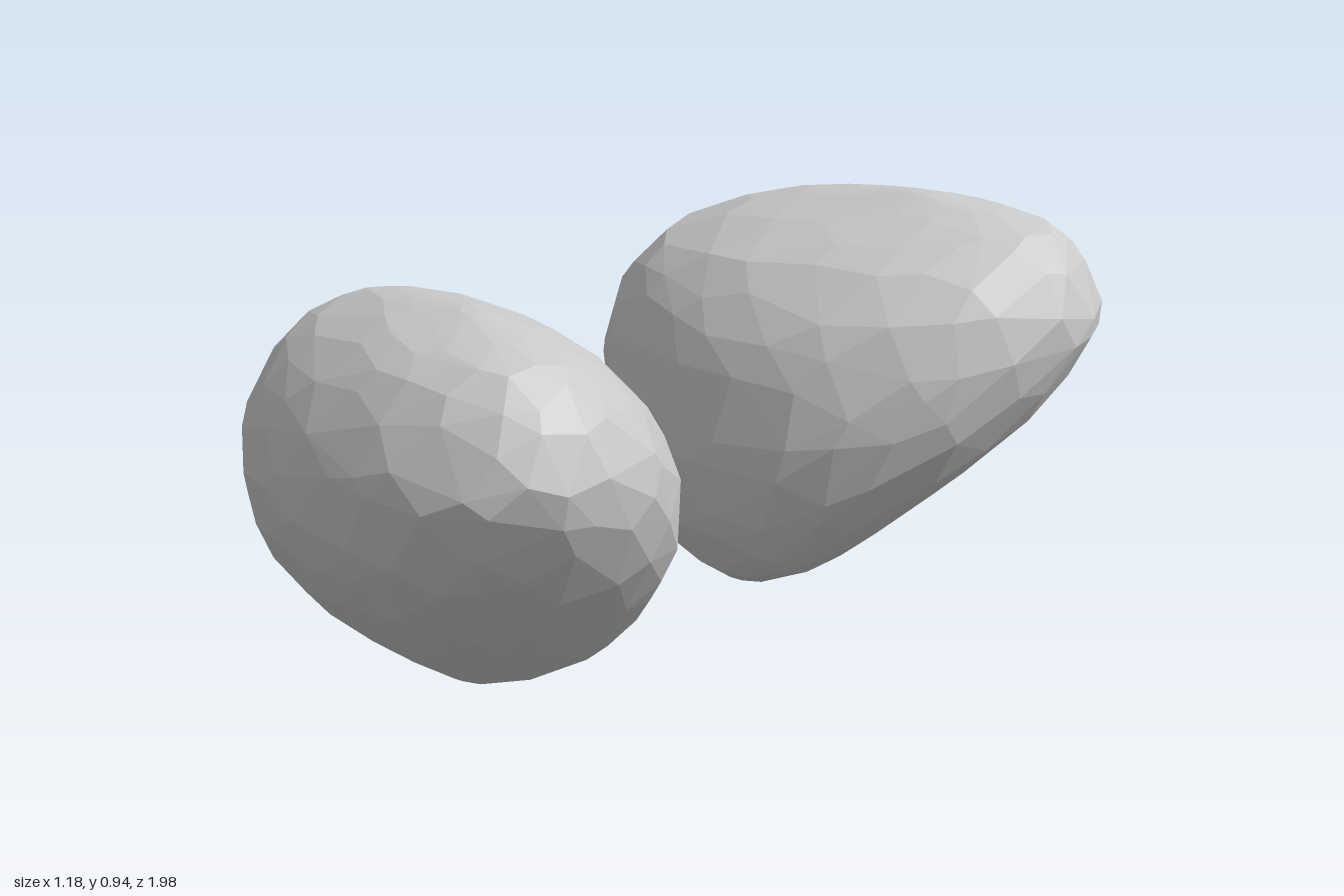
import * as THREE from 'three';
import { ConvexGeometry } from 'three/addons/geometries/ConvexGeometry.js';

// Horizontal slices of a stone, bottom to top: [y, xMin, xMax]
const SLICES = [
  [0, -0.12, -0.05], [0.02, -0.24, 0.01], [0.08, -0.325, 0.135], [0.16, -0.42, 0.225],
  [0.25, -0.505, 0.315], [0.35, -0.56, 0.41], [0.45, -0.592, 0.49], [0.55, -0.592, 0.545],
  [0.65, -0.57, 0.585], [0.72, -0.52, 0.59], [0.8, -0.44, 0.56], [0.86, -0.31, 0.51],
  [0.9, -0.17, 0.47], [0.92, -0.02, 0.36], [0.937, 0.14, 0.2],
];

// Distance from the middle plane per slice: [inner, outer]
const FRONT_DEPTH = [
  [0.38, 0.42], [0.31, 0.53], [0.22, 0.62], [0.16, 0.72], [0.147, 0.82], [0.136, 0.905],
  [0.147, 0.96], [0.175, 0.995], [0.235, 1.0], [0.28, 0.985], [0.36, 0.94], [0.45, 0.89],
  [0.53, 0.83], [0.6, 0.76], [0.65, 0.69],
];
const BACK_DEPTH = [
  [0.36, 0.4], [0.29, 0.45], [0.205, 0.57], [0.155, 0.68], [0.13, 0.785], [0.12, 0.86],
  [0.13, 0.92], [0.15, 0.975], [0.19, 1.0], [0.235, 0.975], [0.31, 0.925], [0.43, 0.875],
  [0.54, 0.815], [0.6, 0.765], [0.64, 0.69],
];

function seeded(seed) {
  return () => {
    seed = (seed * 16807) % 2147483647;
    return seed / 2147483647;
  };
}

// Slice values at a fractional slice index
function sample(table, f) {
  const i = Math.min(Math.floor(f), table.length - 2);
  return table[i].map((v, k) => THREE.MathUtils.lerp(v, table[i + 1][k], f - i));
}

// Sine or cosine squared off by an exponent below 1, for fuller slices
const full = (v, e) => Math.sign(v) * Math.abs(v) ** e;

// Irregularly faceted convex stone wrapped around skewed oval slices
function stone(name, depth, side, seed, material) {
  const random = seeded(seed);
  const points = [];
  for (let i = 0; i < SLICES.length; i++) {
    const [, a, b] = SLICES[i];
    const count = Math.round(9 + 24 * (b - a) / 2);
    for (let k = 0; k < count; k++) {
      // Uneven heights, except at the very bottom and top
      const edge = i < 2 || i > SLICES.length - 3;
      const f = edge ? i : i + (random() - 0.5) * 0.8;
      const [y, x0, x1] = sample(SLICES, f);
      const [z0, z1] = sample(depth, f);
      const t = ((k + (i % 2) * 0.5 + (random() - 0.5) * 0.6) / count) * Math.PI * 2;
      // The lean grows with height and towards the outer side; the base is fuller
      const skew = 0.13 + 0.6 * (y - 0.5) + 0.1 * Math.sin(t);
      const e = 0.86 + 0.14 * y;
      points.push(new THREE.Vector3(
        (x0 + x1) / 2 + ((x1 - x0) / 2) * full(Math.cos(t), e),
        y,
        side * ((z0 + z1) / 2 + ((z1 - z0) / 2) * full(Math.sin(t + skew), e)),
      ));
    }
  }
  const mesh = new THREE.Mesh(new ConvexGeometry(points), material);
  mesh.name = name;
  return mesh;
}

export function createModel() {
  const group = new THREE.Group();
  group.name = 'stonePair';
  const material = new THREE.MeshStandardMaterial({ color: 0xcccccc, flatShading: true });
  group.add(stone('frontStone', FRONT_DEPTH, 1, 1234, material));
  group.add(stone('backStone', BACK_DEPTH, -1, 98765, material));
  return group;
}
